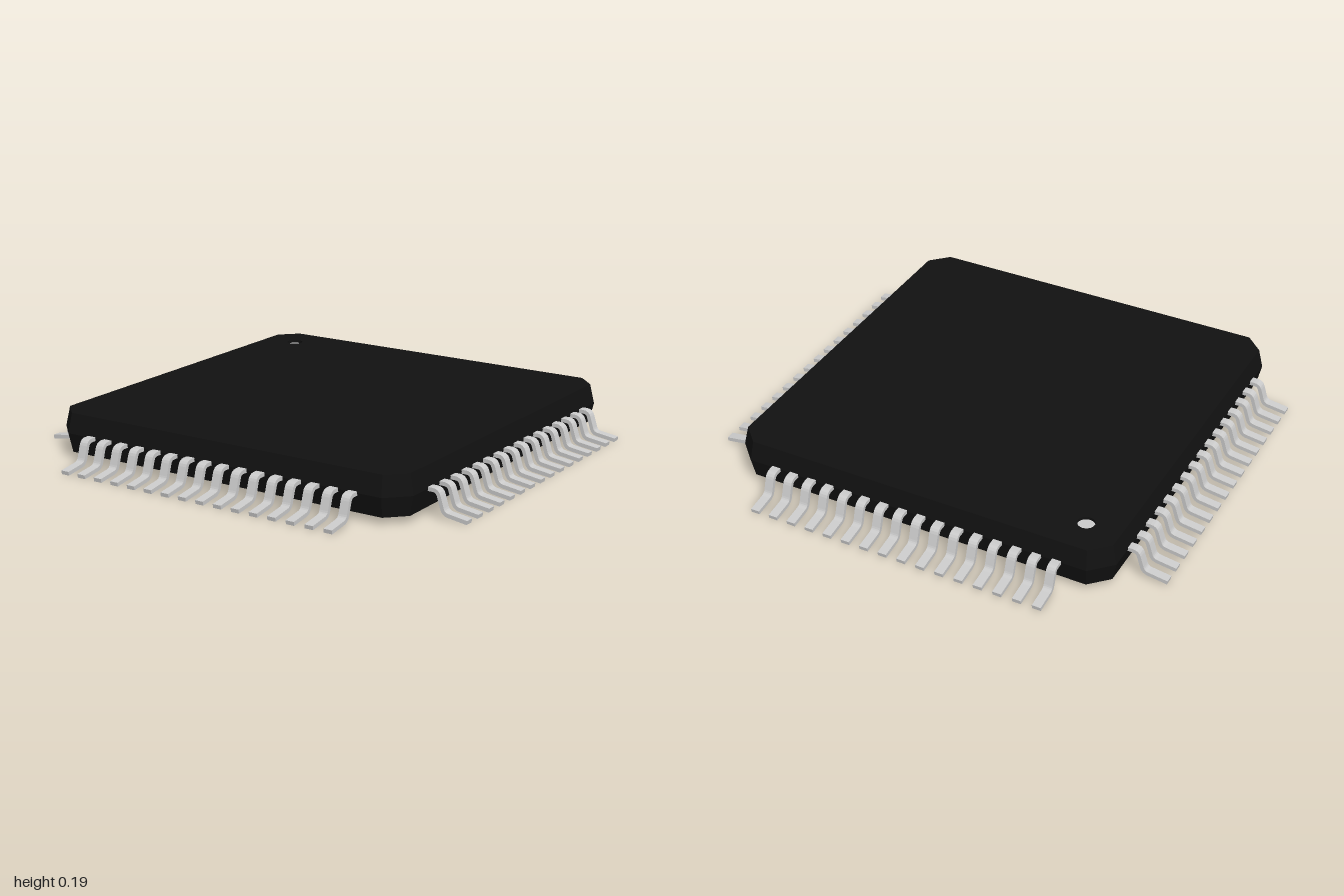
import * as THREE from 'three';

const HALF = 0.833, CUT = 0.085;          // body half width and corner cut
const BOTTOM = 0.03, MID = 0.112, TOP = 0.195;
const TAPER = 0.018;                      // draft of the moulded sides
const DOT = { x: -0.667, z: -0.667, r: 0.035, depth: 0.012 };
const LEADS = 16, PITCH = 0.0833, LEAD_WIDTH = 0.037, LEAD_THICK = 0.016;

// Square with cut corners, counter-clockwise, as Vector2 (x, -z)
function octagon(inset) {
  const h = HALF - inset, k = HALF - CUT - inset * 0.4;
  return [[h, -k], [h, k], [k, h], [-k, h], [-h, k], [-h, -k], [-k, -h], [k, -h]]
    .map(([x, y]) => new THREE.Vector2(x, y));
}

// Tapered side walls through the three octagon rings
function wallGeometry() {
  const rings = [[BOTTOM, TAPER], [MID, 0], [TOP, TAPER]]
    .map(([y, inset]) => octagon(inset).map(p => [p.x, y, -p.y]));
  const pos = [];
  for (let r = 0; r < 2; r++) {
    for (let i = 0; i < 8; i++) {
      const j = (i + 1) % 8;
      const a = rings[r][i], b = rings[r][j], c = rings[r + 1][j], d = rings[r + 1][i];
      pos.push(...a, ...b, ...c, ...a, ...c, ...d);
    }
  }
  const g = new THREE.BufferGeometry();
  g.setAttribute('position', new THREE.Float32BufferAttribute(pos, 3));
  g.computeVertexNormals();
  return g;
}

// Gull-wing lead: a bent strip running outward along +x
function leadGeometry() {
  const v = (x, y) => new THREE.Vector2(x, y);
  const corners = [v(0.815, 0.11), v(0.872, 0.11), v(0.899, 0.024), v(0.999, 0.009)];
  const path = [corners[0]];
  for (let i = 1; i < 3; i++) {
    const c = corners[i], r = 0.02;
    const toward = p => p.clone().sub(c).setLength(r).add(c);
    path.push(...new THREE.QuadraticBezierCurve(toward(corners[i - 1]), c, toward(corners[i + 1])).getPoints(4));
  }
  path.push(corners[3]);
  const upper = [], lower = [];
  path.forEach((p, i) => {
    const t = path[Math.min(i + 1, path.length - 1)].clone().sub(path[Math.max(i - 1, 0)]).normalize();
    const n = v(-t.y, t.x).multiplyScalar(LEAD_THICK / 2);
    upper.push(p.clone().add(n));
    lower.push(p.clone().sub(n));
  });
  const g = new THREE.ExtrudeGeometry(new THREE.Shape([...lower, ...upper.reverse()]),
    { depth: LEAD_WIDTH, bevelEnabled: false });
  g.translate(0, 0, -LEAD_WIDTH / 2);
  return g;
}

export function createModel() {
  const model = new THREE.Group();
  model.name = 'quadFlatChip';
  const black = new THREE.MeshStandardMaterial({ color: 0x111111 });
  const grey = new THREE.MeshStandardMaterial({ color: 0xcccccc });
  const add = (parent, name, geometry, material) => {
    const mesh = new THREE.Mesh(geometry, material);
    mesh.name = name;
    parent.add(mesh);
    return mesh;
  };

  // Moulded body
  const body = new THREE.Group();
  body.name = 'body';
  model.add(body);
  add(body, 'bodySides', wallGeometry(), black);

  const topShape = new THREE.Shape(octagon(TAPER));
  topShape.holes.push(new THREE.Path().absarc(DOT.x, -DOT.z, DOT.r, 0, Math.PI * 2, true));
  add(body, 'bodyTop', new THREE.ShapeGeometry(topShape, 16).rotateX(-Math.PI / 2).translate(0, TOP, 0), black);
  add(body, 'bodyBottom', new THREE.ShapeGeometry(new THREE.Shape(octagon(TAPER)))
    .rotateX(Math.PI / 2).scale(1, 1, 1).translate(0, BOTTOM, 0), black);

  // Shallow round recess marking the first pin
  const rim = new THREE.MeshStandardMaterial({ color: 0x111111, side: THREE.DoubleSide });
  add(body, 'markerWall', new THREE.CylinderGeometry(DOT.r, DOT.r, DOT.depth, 32, 1, true), rim)
    .position.set(DOT.x, TOP - DOT.depth / 2, DOT.z);
  add(body, 'markerFloor', new THREE.CircleGeometry(DOT.r, 32).rotateX(-Math.PI / 2), grey)
    .position.set(DOT.x, TOP - DOT.depth, DOT.z);

  // Four rows of leads
  const lead = leadGeometry();
  ['leftLeads', 'backLeads', 'rightLeads', 'frontLeads'].forEach((name, side) => {
    const row = new THREE.Group();
    row.name = name;
    row.rotation.y = side * Math.PI / 2;
    for (let i = 0; i < LEADS; i++) {
      add(row, 'lead', lead, grey).position.z = (i - (LEADS - 1) / 2) * PITCH;
    }
    model.add(row);
  });
  return model;
}
